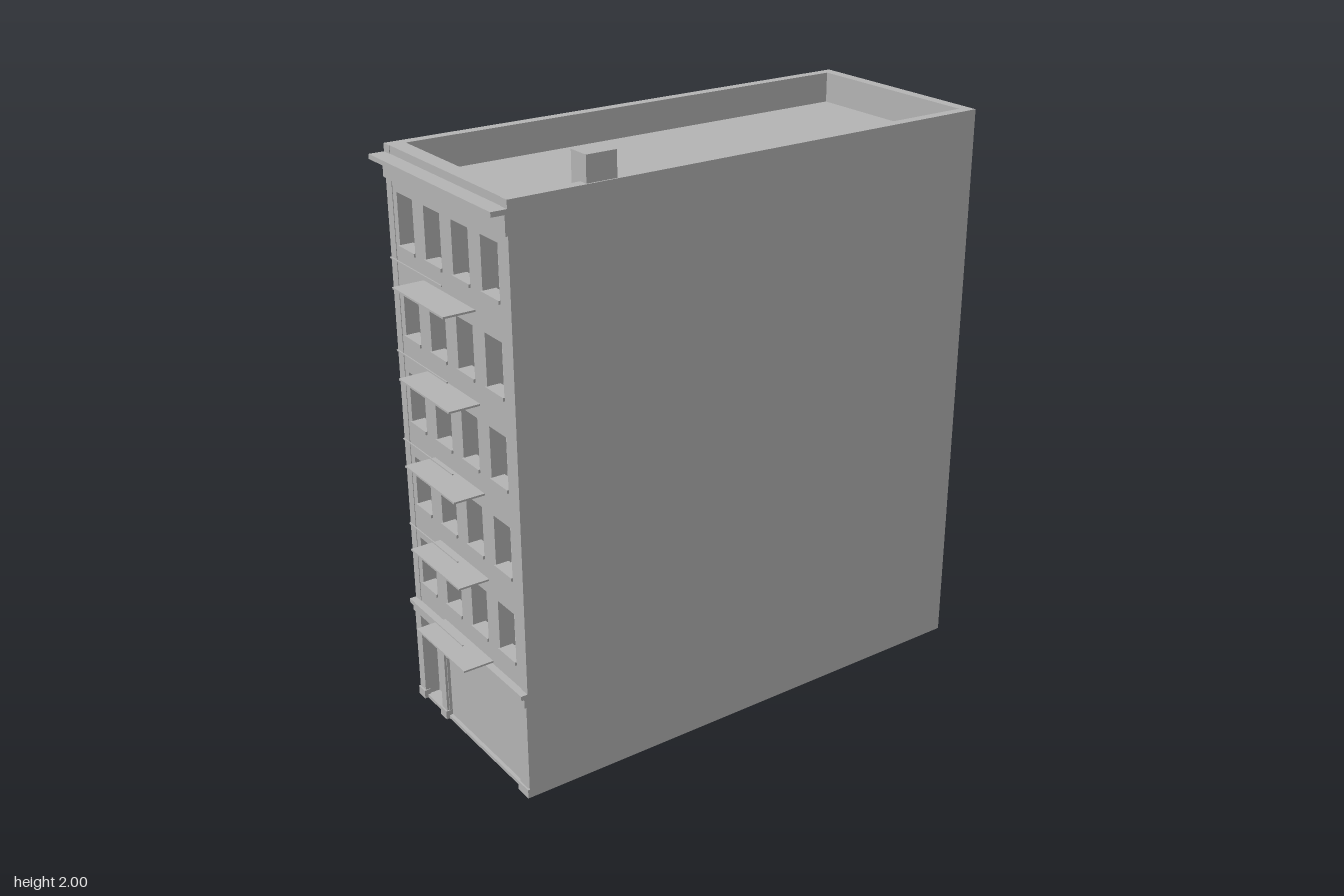
import * as THREE from 'three';

const grey = new THREE.MeshStandardMaterial({ color: 0xb3b3b3 });
grey.name = 'plain grey';

const W = 0.355, BASE = 0.03, TOP = 1.92, ROOF = 1.82, STOREY = 0.2855;
const columns = [-0.247, -0.083, 0.08, 0.245];   // window centres
const floors = [0, 1, 2, 3, 4].map(i => 0.408 + i * STOREY);

export function createModel() {
  const model = new THREE.Group();
  model.name = 'townhouse';

  // box given by its minimum and maximum on each axis
  function box(name, x0, x1, y0, y1, z0, z1) {
    const mesh = new THREE.Mesh(new THREE.BoxGeometry(x1 - x0, y1 - y0, z1 - z0), grey);
    mesh.position.set((x0 + x1) / 2, (y0 + y1) / 2, (z0 + z1) / 2);
    mesh.name = name;
    model.add(mesh);
    return mesh;
  }

  function rect(path, x0, x1, y0, y1) {
    return path.moveTo(x0, y0).lineTo(x1, y0).lineTo(x1, y1).lineTo(x0, y1).closePath();
  }

  // upright wall with rectangular openings [x0, x1, y0, y1]
  function wall(name, x, y0, y1, z0, z1, openings) {
    const shape = rect(new THREE.Shape(), -x, x, y0, y1);
    for (const o of openings) shape.holes.push(rect(new THREE.Path(), ...o));
    const geometry = new THREE.ExtrudeGeometry(shape, { depth: z1 - z0, bevelEnabled: false });
    const mesh = new THREE.Mesh(geometry, grey);
    mesh.position.z = z0;
    mesh.name = name;
    model.add(mesh);
  }

  // base, side walls, floors and roof
  box('plinth', -0.32, 0.32, 0, BASE, -0.86, 0.76);
  box('groundFloor', -W, W, BASE, BASE + 0.012, -0.885, 0.8);
  for (const s of [-1, 1]) {
    const a = s * 0.32, b = s * W;
    box('sideWall', Math.min(a, b), Math.max(a, b), BASE, TOP, -0.9, 0.8);
  }
  for (const y of floors) box('floorSlab', -0.32, 0.32, y - 0.02, y, -0.87, 0.75);
  box('roof', -0.32, 0.32, ROOF - 0.02, ROOF, -0.87, 0.75);
  box('chimney', 0.275, 0.35, ROOF, 2, 0.45, 0.55);

  // front wall with window openings, entrance and shopfront
  const frontHoles = [];
  for (const y of floors) for (const x of columns) {
    frontHoles.push([x - 0.048, x + 0.048, y + 0.065, y + 0.236]);
    box('frontSill', x - 0.05, x + 0.05, y + 0.062, y + 0.073, 0.755, 0.804);
  }
  frontHoles.push([-0.318, -0.205, 0.042, 0.355], [-0.165, 0.3, 0.042, 0.3]);
  wall('frontWall', W, BASE, TOP, 0.745, 0.798, frontHoles);
  box('doorLeaf', -0.318, -0.205, 0.042, 0.27, 0.748, 0.755);
  box('doorTransom', -0.318, -0.205, 0.27, 0.355, 0.746, 0.762);
  box('shopPanel', -0.165, 0.3, 0.042, 0.3, 0.765, 0.788);

  // ground floor pillars with footings, and the ledge above
  for (const [x0, x1] of [[-W, -0.318], [-0.2, -0.168], [0.3, W]]) {
    box('pillar', x0, x1, BASE, 0.355, 0.79, 0.806);
    box('pillarFooting', Math.max(-W, x0 - 0.004), Math.min(W, x1 + 0.004), BASE, 0.06, 0.79, 0.812);
  }
  box('shopFrieze', -W, W, 0.355, 0.385, 0.79, 0.812);
  box('shopCornice', -W, W, 0.385, 0.4, 0.79, 0.822);

  // top cornice
  box('topFrieze', -W, W, ROOF, 1.88, 0.79, 0.808);
  box('topCornice', -W, W, 1.88, 1.895, 0.79, 0.85);

  // balcony plates with slender rails
  for (const y of floors) {
    box('balconyPlate', -0.155, 0.15, y - 0.003, y + 0.003, 0.79, 0.9);
    box('balconyRail', -0.155, 0.15, y + 0.091, y + 0.095, 0.896, 0.9);
  }

  // back wall, set behind a grid of pilasters and ledges
  const backHoles = [];
  for (const y of [floors[0] - STOREY, ...floors]) for (const x of columns) {
    if (y < 0.2 && x < -0.2) {
      backHoles.push([x - 0.048, x + 0.048, 0.042, y + 0.236]);   // back door
      continue;
    }
    backHoles.push([x - 0.048, x + 0.048, y + 0.065, y + 0.236]);
    box('backSill', x - 0.05, x + 0.05, y + 0.055, y + 0.068, -0.897, -0.865);
  }
  wall('backWall', 0.32, BASE, TOP, -0.882, -0.862, backHoles);
  for (const x of [-0.165, 0, 0.163]) box('backPilaster', x - 0.018, x + 0.018, BASE, TOP, -0.9, -0.88);
  for (const y of floors) box('backLedge', -W, W, y - 0.018, y, -0.9, -0.88);
  box('backCoping', -W, W, TOP - 0.02, TOP, -0.9, -0.862);

  return model;
}
